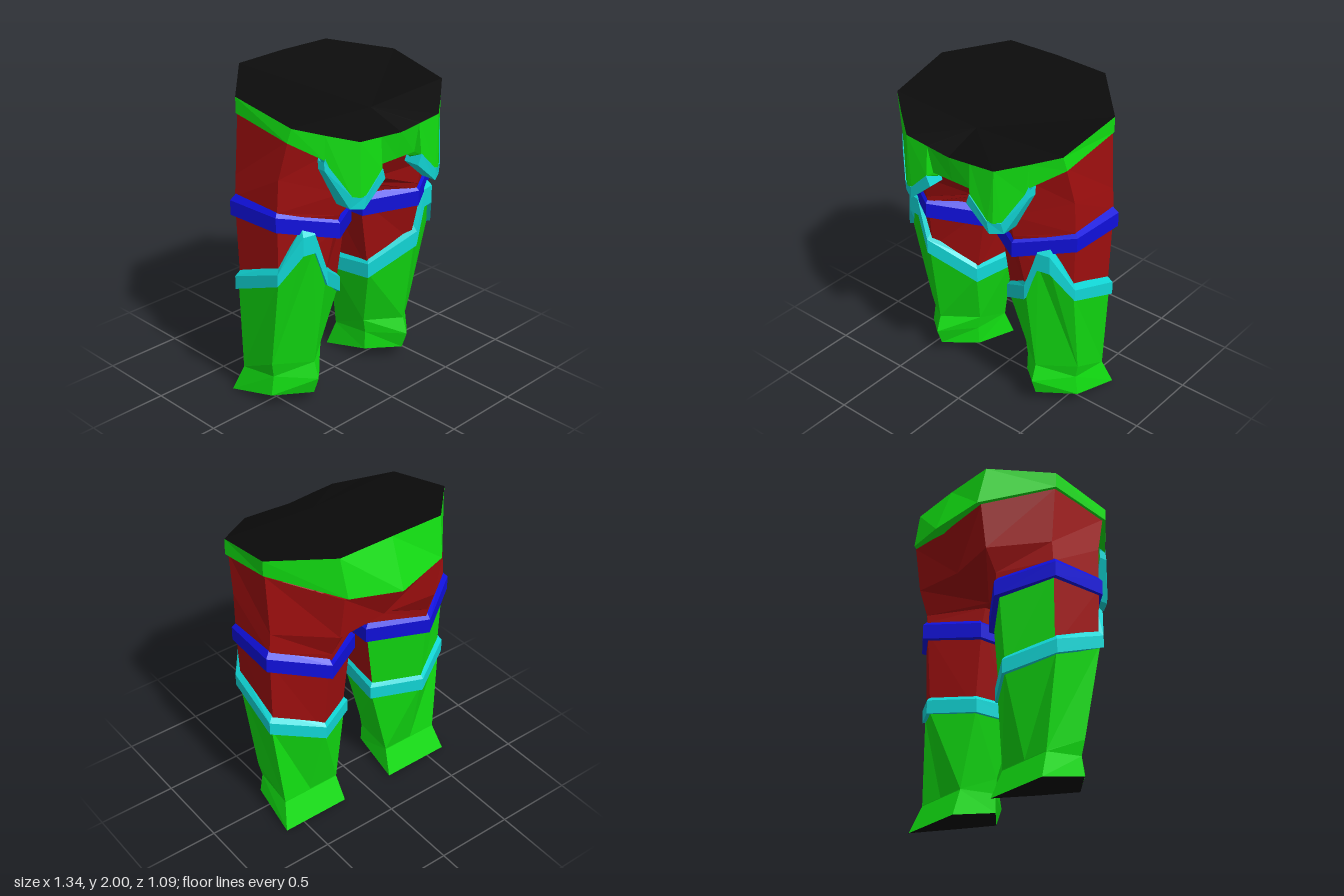
import * as THREE from 'three';

const RED = 0xa00f0f, GREEN = 0x11dd11, CYAN = 0x11d8d8, BLUE = 0x1010dd, BLACK = 0x0b0b0b;

function makeMesh(name, color, tris, side) {
  const flat = [];
  for (const [a, b, c] of tris) {
    for (const p of side < 0 ? [a, c, b] : [a, b, c]) flat.push(p[0] * side, p[1], p[2]);
  }
  const geo = new THREE.BufferGeometry();
  geo.setAttribute('position', new THREE.Float32BufferAttribute(flat, 3));
  geo.computeVertexNormals();
  const mat = new THREE.MeshStandardMaterial({ color, flatShading: true, side: THREE.DoubleSide });
  const mesh = new THREE.Mesh(geo, mat);
  mesh.name = name;
  return mesh;
}

// Skin between closed rings listed from top to bottom; a point repeated in a ring
// makes a triangle, and keep(segment, face) filters faces
function loft(name, color, rings, side = 1, keep = () => true) {
  const tris = [];
  for (let r = 0; r < rings.length - 1; r++) {
    const top = rings[r], bot = rings[r + 1], n = top.length;
    for (let i = 0; i < n; i++) {
      if (!keep(r, i)) continue;
      const j = (i + 1) % n;
      if (bot[i] !== bot[j]) tris.push([top[i], bot[i], bot[j]]);
      if (top[i] !== top[j]) tris.push([top[i], bot[j], top[j]]);
    }
  }
  return makeMesh(name, color, tris, side);
}

function cap(name, color, ring, side, up) {
  const n = ring.length;
  const c = [0, 1, 2].map(k => ring.reduce((s, p) => s + p[k], 0) / n);
  return makeMesh(name, color, ring.map((p, i) => {
    const q = ring[(i + 1) % n];
    return up ? [c, p, q] : [c, q, p];
  }), side);
}

const inset = (ring, s, cx, dy = 0) => ring.map(([x, y, z]) => [cx + (x - cx) * s, y + dy, z * s]);
const withY = (ring, ys) => ring.map(([x, , z], i) => [x, ys[i], z]);

// Raised strap around a limb, with a bevelled upper edge
function strap(name, color, top, bottom, side) {
  return loft(name, color, [inset(top, 0.88, 0.36, 0.03), inset(top, 1, 0.36, -0.015), bottom, inset(bottom, 0.88, 0.36)], side);
}

// Ring order: front, outer front, outer back, back, inner back, inner front
const waist = [[.32, 1.72, .42], [.61, 1.77, .26], [.63, 1.83, -.13], [.34, 1.74, -.46], [0, 1.69, -.49], [0, 1.6, .44]];
const hip = [[.33, 1.42, .39], [.63, 1.53, .2], [.63, 1.46, -.16], [.34, 1.46, -.42], [0, 1.45, -.38], [0, 1.41, .34]];
const crotch = [[.33, 1.28, .37], [.635, 1.33, .19], [.64, 1.33, -.16], [.35, 1.31, -.355], [0, 1.325, -.14], [0, 1.325, .15]];
const groin = [[.33, 1.24, .36], [.635, 1.3, .19], [.64, 1.3, -.16], [.35, 1.26, -.35], [.035, 1.305, -.14], [.035, 1.305, .15]];
const thigh = [[.34, 1.18, .345], [.635, 1.26, .19], [.64, 1.26, -.16], [.36, 1.2, -.34], [.055, 1.2, -.15], [.055, 1.2, .16]];
const knee = [[.37, .87, .29], [.625, .92, .18], [.63, .79, -.15], [.37, .71, -.3], [.12, .66, -.15], [.14, .69, .15]];
const ankle = [[.39, .295, .225], [.6, .3, .08], [.59, .175, -.19], [.4, .175, -.19], [.2, .175, -.19], [.19, .29, .07]];
const instep = [[.39, .19, .26], [.58, .205, .07], [.59, .17, -.19], [.4, .17, -.19], [.2, .17, -.19], [.205, .2, .07]];
const sole = [[.39, .08, .22], [.6, .08, .07], [.63, 0, -.255], [.4, 0, -.255], [.18, 0, -.255], [.2, .08, .07]];

const thighStrap = [[.33, 1.25, .38], [.655, 1.325, .2], [.67, 1.325, -.17], [.36, 1.26, -.375], [.04, 1.21, -.17], [.045, 1.21, .19]];
// Knee trim has two extra points for the peak between front and outer front
const kneeTrim = [[.38, .95, .33], [.46, 1.2, .315], [.54, 1.2, .3], [.65, .97, .2], [.66, .84, -.16], [.37, .77, -.325], [.09, .73, -.16], [.12, .76, .17]];
const kneeTrimLow = withY(kneeTrim, [.84, 1.07, 1.07, .88, .74, .67, .63, .65]);

function makeLeg(side) {
  const leg = new THREE.Group();
  leg.name = side > 0 ? 'leftLeg' : 'rightLeg';
  // One leg carries a plate on the back of the thigh
  const isPlate = (r, i) => side < 0 && r === 4 && (i === 2 || i === 3);
  const trousers = [waist, hip, crotch, groin, thigh, knee];
  leg.add(loft('trouserLeg', RED, trousers, side, (r, i) => !(r < 2 && i === 4) && !isPlate(r, i)));
  if (side < 0) leg.add(loft('backThighPlate', GREEN, trousers, side, isPlate));

  leg.add(strap('thighStrap', BLUE, thighStrap, withY(thighStrap, [1.14, 1.22, 1.22, 1.15, 1.1, 1.1]), side));
  leg.add(strap('kneeTrim', CYAN, kneeTrim, kneeTrimLow, side));

  // Shin guard and boot
  const shinTop = inset(kneeTrimLow, 0.94, 0.36, 0.02);
  const shinLow = [ankle[0], ankle[0], ankle[1], ...ankle.slice(1)];
  leg.add(loft('shinGuard', GREEN, [shinTop, shinLow], side));
  leg.add(loft('boot', GREEN, [ankle, instep, sole], side));
  leg.add(cap('bootSole', BLACK, sole, side, false));

  // Cyan edging under the belt flap: an open strip with a rectangular section
  const upper = [[.16, 1.565, .54], [.285, 1.44, .537], [.36, 1.44, .505], [.455, 1.62, .415], [.47, 1.67, .4]];
  const lower = [[.135, 1.5, .535], [.295, 1.36, .53], [.37, 1.37, .49], [.475, 1.6, .4], [.475, 1.65, .395]];
  const back = (p, d) => [p[0], p[1], p[2] - d];
  const sections = upper.map((p, i) => {
    const d = i > 2 ? .045 : .1;
    return [back(p, -.005), back(lower[i], -.005), back(lower[i], d), back(p, d)];
  });
  leg.add(loft('flapTrim', CYAN, sections, side));
  leg.add(cap('flapTrimEnd', CYAN, sections[0], side, true));
  return leg;
}

function makeBelt() {
  const belt = new THREE.Group();
  belt.name = 'belt';
  // Half outlines from front centre to back centre; the flap hangs from its ridge and outer corner
  const ridge = [.32, 1.76, .522], corner = [.47, 1.805, .405];
  const top = [[0, 1.735, .53], [.15, 1.747, .527], [.16, 1.748, .527], ridge, ridge, ridge, corner, corner,
    [.61, 1.85, .29], [.64, 1.935, -.13], [.35, 1.995, -.43], [0, 2, -.435]];
  const low = [[0, 1.57, .5], [.145, 1.57, .5], [.16, 1.56, .54], [.285, 1.435, .537], [.32, 1.435, .532], [.36, 1.435, .502],
    [.455, 1.615, .415], [.472, 1.66, .4], [.625, 1.765, .27], [.64, 1.84, -.13], [.33, 1.75, -.48], [0, 1.7, -.545]];
  const mirrored = new Map();
  const mirror = p => {
    if (!mirrored.has(p)) mirrored.set(p, [-p[0], p[1], p[2]]);
    return mirrored.get(p);
  };
  const full = half => [...half, ...half.slice(1, -1).reverse().map(mirror)];
  const rim = full(top), hem = full(low);
  belt.add(loft('beltWall', GREEN, [rim, hem, inset(hem, 0.86, 0, -.02)]));
  belt.add(cap('waistOpening', BLACK, rim, 1, true));
  return belt;
}

export function createModel() {
  const model = new THREE.Group();
  model.name = 'armoredLegs';
  model.add(makeBelt(), makeLeg(1), makeLeg(-1));
  return model;
}
